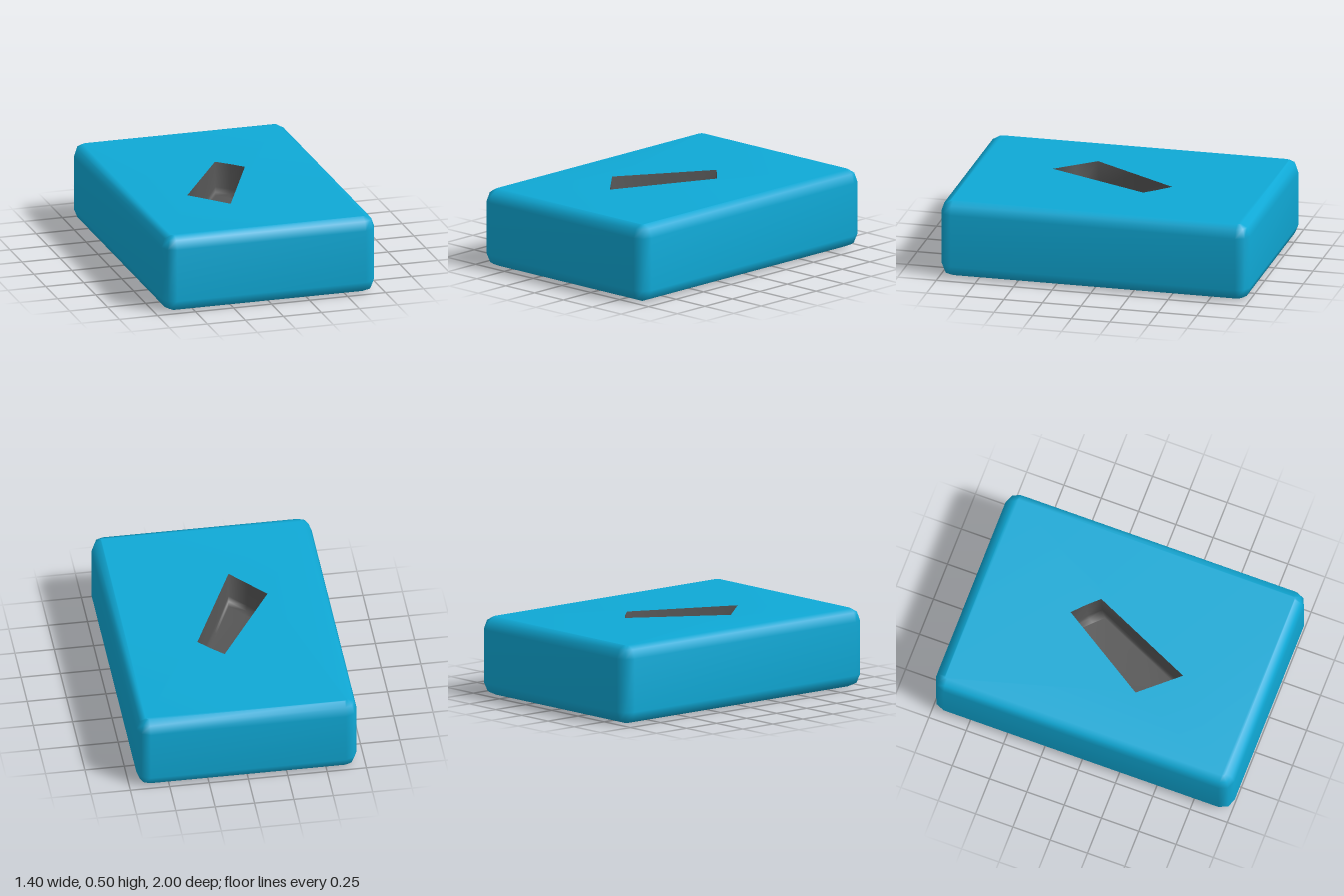
import * as THREE from 'three';

// Horizontal rounded rectangle, running from +x towards +z
function roundedLoop(y, hx, hz, r) {
  const loop = [];
  const corners = [[1, 1], [-1, 1], [-1, -1], [1, -1]];
  corners.forEach(([sx, sz], q) => {
    for (let k = 0; k <= 2; k++) {
      const a = (q + k / 2) * Math.PI / 2;
      loop.push([sx * (hx - r) + r * Math.cos(a), y, sz * (hz - r) + r * Math.sin(a)]);
    }
  });
  return loop;
}

// Joins successive loops with quads
function skin(loops) {
  const n = loops[0].length, index = [];
  for (let j = 0; j < loops.length - 1; j++) {
    for (let k = 0; k < n; k++) {
      const p0 = j * n + k, p1 = j * n + (k + 1) % n;
      index.push(p0, p0 + n, p1, p0 + n, p1 + n, p1);
    }
  }
  return { points: loops.flat(), index };
}

// Fills a flat loop, optionally around a hole; start is its first vertex
function cap(index, outer, hole, start, up) {
  const flat = (loop) => loop.map(([x, , z]) => new THREE.Vector2(x, z));
  const all = [...flat(outer), ...(hole ? flat(hole) : [])];
  const faces = THREE.ShapeUtils.triangulateShape(flat(outer), hole ? [flat(hole)] : []);
  for (const [a, b, c] of faces) {
    const ab = all[b].clone().sub(all[a]), ac = all[c].clone().sub(all[a]);
    const facesUp = ab.y * ac.x - ab.x * ac.y > 0;
    index.push(start + a, start + (facesUp === up ? b : c), start + (facesUp === up ? c : b));
  }
}

function smoothMesh(name, points, index, color) {
  const geometry = new THREE.BufferGeometry();
  geometry.setAttribute('position', new THREE.Float32BufferAttribute(points.flat(), 3));
  geometry.setIndex(index);
  geometry.computeVertexNormals();
  const mesh = new THREE.Mesh(geometry, new THREE.MeshStandardMaterial({ color }));
  mesh.name = name;
  return mesh;
}

export function createModel() {
  const model = new THREE.Group();
  model.name = 'slottedBlock';

  // Slot cross-sections from the rim down to the floor
  const rim = [[0.2, -0.2], [0.13, -0.275], [0.05, -0.35], [-0.13, -0.065],
    [-0.31, 0.22], [-0.205, 0.34], [-0.1, 0.46], [0.05, 0.13]];
  // start at the right corner and run towards +z
  const ordered = [rim[0], ...rim.slice(1).reverse()];
  const slotLoop = (y, s) => ordered.map(([x, z]) => [-0.04 + (x + 0.04) * s, y, 0.03 + (z - 0.03) * s]);
  const slotLoops = [slotLoop(0.5, 1), slotLoop(0.34, 0.95), slotLoop(0.31, 0.91), slotLoop(0.3, 0.82)];

  // Block body with bevelled edges: [height, inset]
  const levels = [[0, 0.075], [0.023, 0.023], [0.08, 0], [0.42, 0], [0.477, 0.02], [0.5, 0.06]];
  const loops = levels.map(([y, i]) => roundedLoop(y, 0.7 - i, 1 - i, 0.08 - i));
  const body = skin(loops);
  const n = loops[0].length;
  cap(body.index, loops[0], null, 0, false);
  cap(body.index, loops[5], slotLoops[0], 5 * n, true);
  model.add(smoothMesh('blockBody', [...body.points, ...slotLoops[0]], body.index, 0x0fa9d6));

  // Recessed slot lining
  const slot = skin(slotLoops);
  cap(slot.index, slotLoops[3], null, 3 * ordered.length, true);
  model.add(smoothMesh('slotLining', slot.points, slot.index, 0x555555));

  return model;
}
